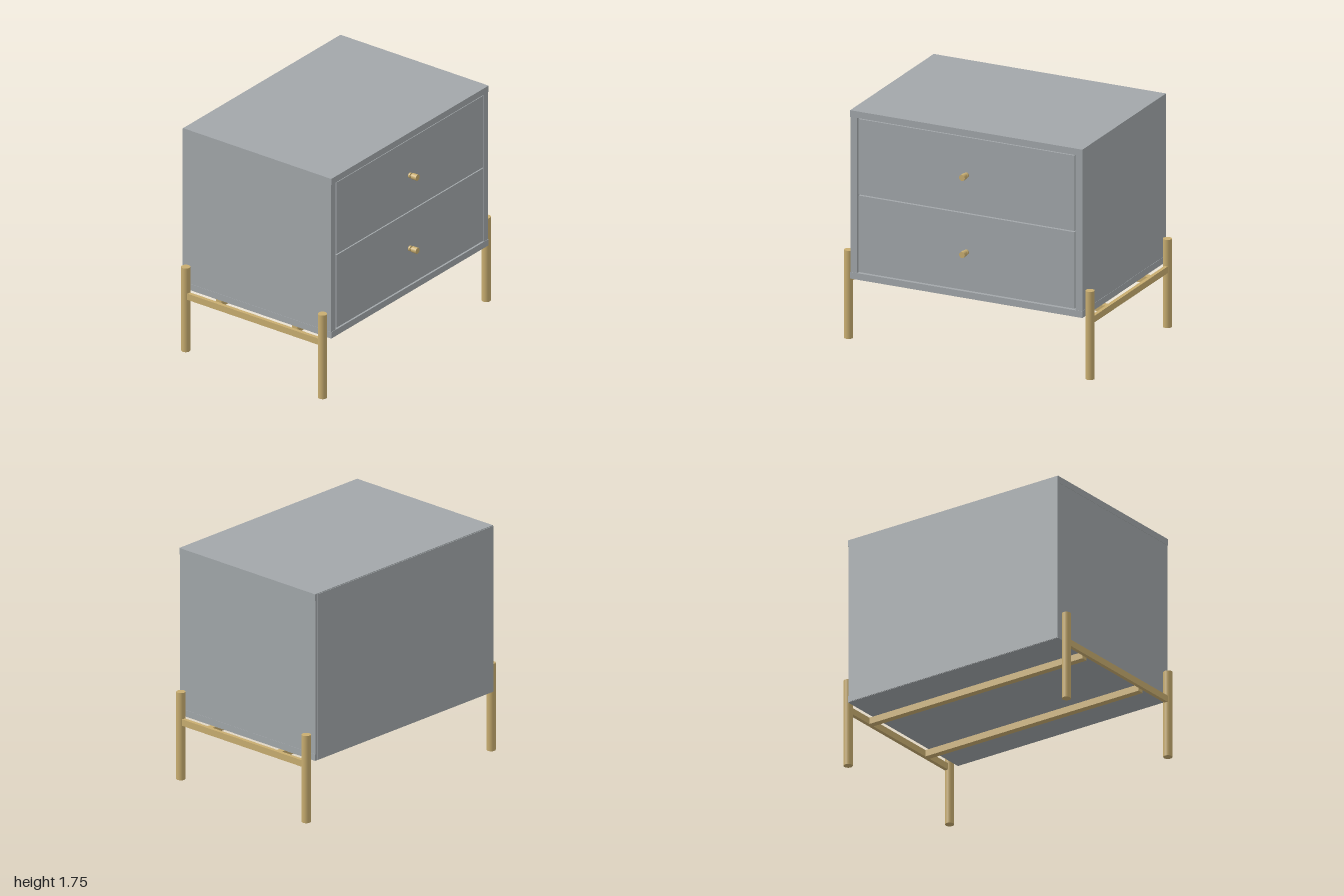
import * as THREE from 'three';

const paint = new THREE.MeshStandardMaterial({ color: 0xa2a7aa });
const brass = new THREE.MeshStandardMaterial({ color: 0xc8ad70 });

// Box given by its limits on each axis
function box(parent, name, material, [x0, x1], [y0, y1], [z0, z1]) {
  const mesh = new THREE.Mesh(new THREE.BoxGeometry(x1 - x0, y1 - y0, z1 - z0), material);
  mesh.position.set((x0 + x1) / 2, (y0 + y1) / 2, (z0 + z1) / 2);
  mesh.name = name;
  parent.add(mesh);
  return mesh;
}

// Turned pull, its axis along +z, starting at the drawer front
function makeKnob() {
  const profile = [
    [0, 0], [0.02, 0], [0.02, 0.013], [0.011, 0.016], [0.011, 0.028],
    [0.023, 0.028], [0.023, 0.072], [0, 0.072],
  ];
  // Each straight piece is its own lathe, so the edges stay sharp
  const knob = new THREE.Group();
  for (let i = 0; i < profile.length - 1; i++) {
    const points = [profile[i], profile[i + 1]].map(([r, h]) => new THREE.Vector2(r, h));
    const ring = new THREE.Mesh(new THREE.LatheGeometry(points, 24), brass);
    ring.name = 'knobRing';
    knob.add(ring);
  }
  knob.rotation.x = Math.PI / 2;
  return knob;
}

export function createModel() {
  const model = new THREE.Group();
  model.name = 'nightstand';

  // Cabinet shell
  const cabinet = new THREE.Group();
  cabinet.name = 'cabinet';
  model.add(cabinet);
  const depth = [-0.697, 0.635];
  box(cabinet, 'topPanel', paint, [-0.93, 0.93], [1.70, 1.75], depth);
  box(cabinet, 'bottomPanel', paint, [-0.93, 0.93], [0.47, 0.52], depth);
  box(cabinet, 'leftPanel', paint, [0.875, 0.928], [0.52, 1.70], [-0.697, 0.632]);
  box(cabinet, 'rightPanel', paint, [-0.928, -0.875], [0.52, 1.70], [-0.697, 0.632]);
  box(cabinet, 'backPanel', paint, [-0.93, 0.905], [0.472, 1.745], [-0.702, -0.68]);

  // Drawers with their pulls
  for (const [y0, y1] of [[0.53, 1.111], [1.12, 1.693]]) {
    const drawer = new THREE.Group();
    drawer.name = 'drawer';
    box(drawer, 'drawerFront', paint, [-0.865, 0.865], [y0, y1], [0.59, 0.632]);
    box(drawer, 'drawerBox', paint, [-0.85, 0.85], [y0 + 0.02, y1 - 0.03], [-0.65, 0.59]);
    const knob = makeKnob();
    knob.name = 'knob';
    knob.position.set(0, (y0 + y1) / 2, 0.632);
    drawer.add(knob);
    model.add(drawer);
  }

  // Leg frame: round posts, side rails and two cross bars
  const frame = new THREE.Group();
  frame.name = 'legFrame';
  model.add(frame);
  for (const side of [1, -1]) {
    for (const z of [0.585, -0.645]) {
      const leg = new THREE.Mesh(new THREE.CylinderGeometry(0.033, 0.033, 0.67, 32), brass);
      leg.name = 'leg';
      leg.position.set(side * 0.967, 0.335, z);
      frame.add(leg);
    }
    const rail = box(frame, 'sideRail', brass, [-0.014, 0.014], [0.42, 0.47], [-0.63, 0.57]);
    rail.position.x = side * 0.972;
  }
  for (const z of [0.305, -0.375]) {
    box(frame, 'crossBar', brass, [-0.93, 0.96], [0.42, 0.47], [z - 0.025, z + 0.025]);
  }
  return model;
}
